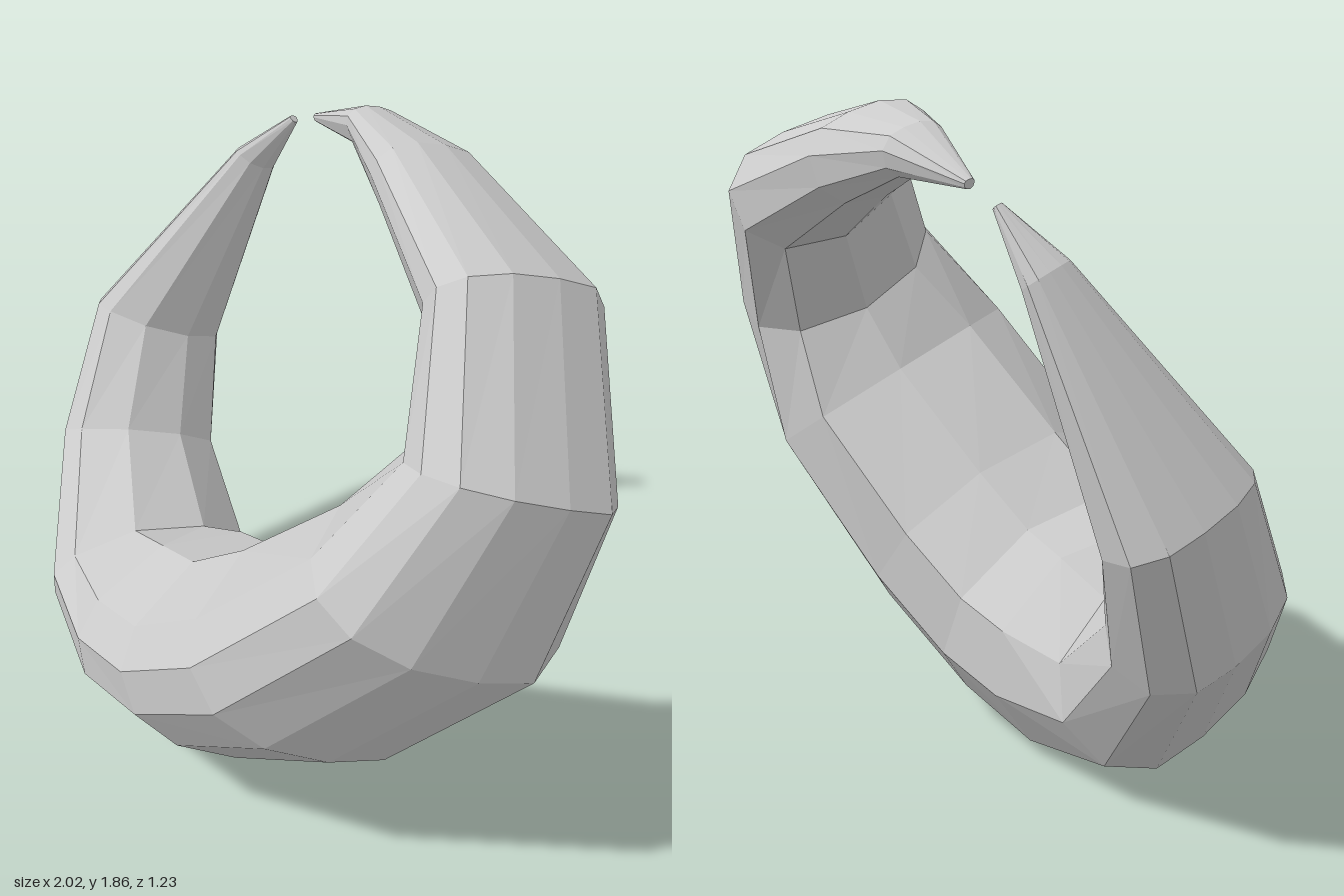
import * as THREE from 'three';

// Tilted plane in which the horn curls
const AXIS = new THREE.Vector3(-0.3, 0.42, 0.86).normalize();
const planeZ = (x, y) => 0.384 + 0.349 * x - 0.488 * y;

// Stations from the thin tip round to the other tip: x, y, half width (axial), half thickness (radial)
const STATIONS = [
  [-0.485, 1.66, 0.014, 0.012],
  [-0.61, 1.51, 0.07, 0.042],
  [-0.865, 0.945, 0.22, 0.135],
  [-0.79, 0.61, 0.26, 0.175],
  [-0.52, 0.335, 0.34, 0.24],
  [-0.24, 0.33, 0.40, 0.31],
  [0.01, 0.39, 0.42, 0.32],
  [0.29, 0.57, 0.43, 0.33],
  [0.65, 0.94, 0.42, 0.30],
  [0.755, 1.265, 0.32, 0.245],
  [0.585, 1.59, 0.28, 0.185],
  [0.13, 1.725, 0.18, 0.12],
  [-0.14, 1.76, 0.09, 0.063],
  [-0.38, 1.70, 0.015, 0.013],
];

// Cross-section: (axial, inward) with a broad, flatter inner side
const SECTION = [
  [-0.75, 0.72], [-0.15, 1.03], [0.5, 0.82], [0.9, 0.22], [0.97, -0.18],
  [0.82, -0.55], [0.45, -0.82], [-0.05, -0.93], [-0.52, -0.91], [-0.88, -0.53], [-0.98, 0.15],
];

function hornGeometry() {
  const centres = STATIONS.map(([x, y]) => new THREE.Vector3(x, y, planeZ(x, y)));
  const n = SECTION.length;
  const last = STATIONS.length - 1;
  const pos = [];
  const idx = [];
  centres.forEach((c, i) => {
    // Tangent bisects the neighbouring segments
    const t = new THREE.Vector3();
    if (i > 0) t.add(c.clone().sub(centres[i - 1]).normalize());
    if (i < last) t.add(centres[i + 1].clone().sub(c).normalize());
    const inward = AXIS.clone().cross(t).normalize();
    const [, , width, thick] = STATIONS[i];
    for (const [a, r] of SECTION) {
      const p = c.clone().addScaledVector(AXIS, a * width).addScaledVector(inward, r * thick);
      pos.push(p.x, p.y, p.z);
    }
  });
  // Sides
  for (let i = 0; i < last; i++) {
    for (let j = 0; j < n; j++) {
      const k = (j + 1) % n;
      const a = i * n + j, b = i * n + k, c = b + n, d = a + n;
      idx.push(a, b, c, a, c, d);
    }
  }
  // Blunt tips
  for (let j = 1; j < n - 1; j++) {
    idx.push(0, j + 1, j);
    idx.push(last * n, last * n + j, last * n + j + 1);
  }
  const g = new THREE.BufferGeometry();
  g.setAttribute('position', new THREE.Float32BufferAttribute(pos, 3));
  g.setIndex(idx);
  const flat = g.toNonIndexed();
  flat.computeVertexNormals();
  return flat;
}

export function createModel() {
  const group = new THREE.Group();
  group.name = 'curledHorn';
  const material = new THREE.MeshStandardMaterial({ color: 0xcccccc, flatShading: true });
  const horn = new THREE.Mesh(hornGeometry(), material);
  horn.name = 'hornBody';
  group.add(horn);
  return group;
}
